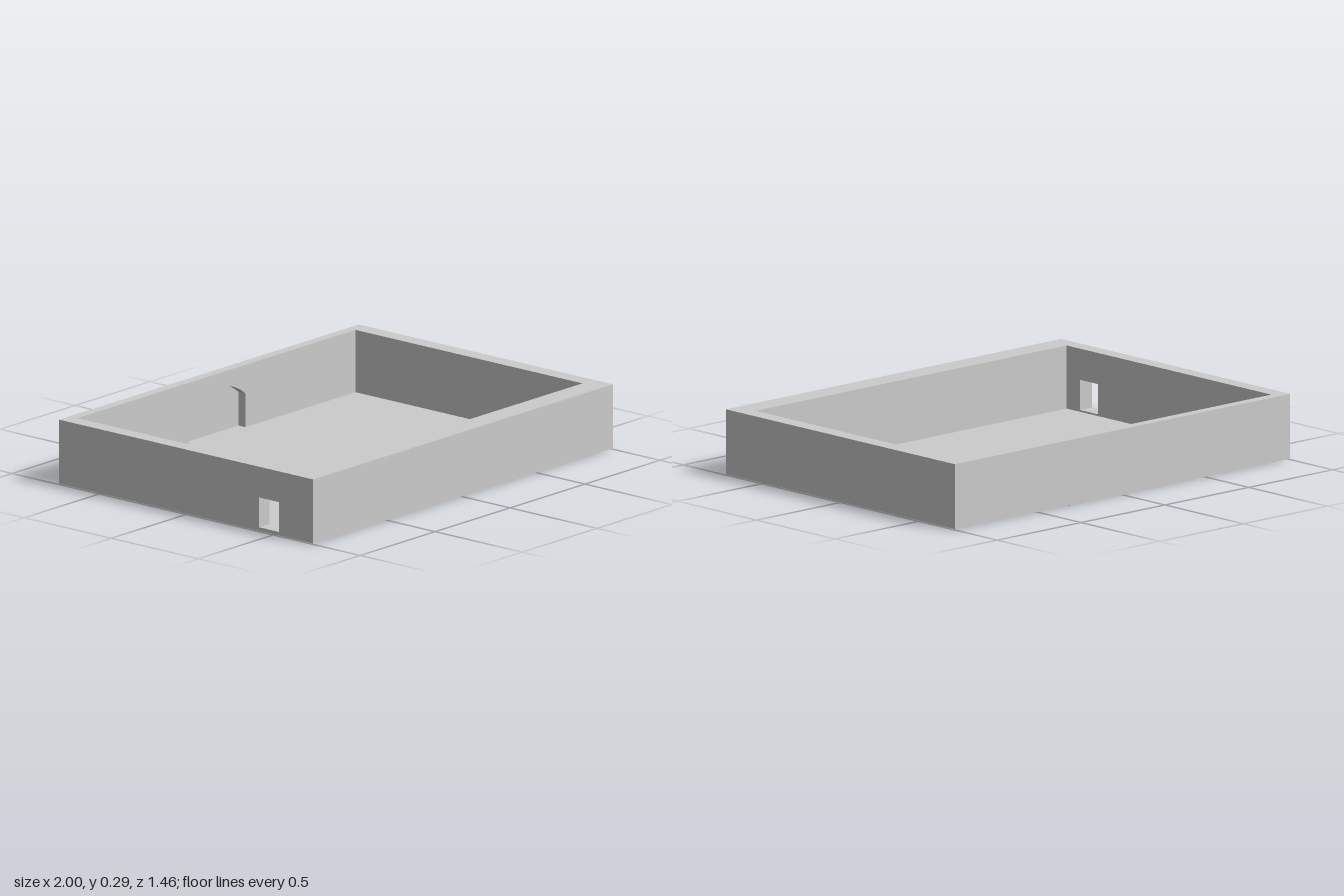
import * as THREE from 'three';

const material = new THREE.MeshStandardMaterial({ color: 0xcccccc, flatShading: true });

// Heights of the underside, the inner floor and the rim
const BASE = 0.004, FLOOR = 0.012, RIM = 0.294;
// Outer half sizes and the inner faces of the walls
const X = 1, Z = 0.73;
const IN = { left: 0.925, right: -0.93, front: 0.62, back: -0.685 };

function add(group, name, geometry) {
  const mesh = new THREE.Mesh(geometry, material);
  mesh.name = name;
  group.add(mesh);
  return mesh;
}

// Box given by its limits on each axis
function block(group, name, x0, x1, y0, y1, z0, z1) {
  add(group, name, new THREE.BoxGeometry(x1 - x0, y1 - y0, z1 - z0))
    .position.set((x0 + x1) / 2, (y0 + y1) / 2, (z0 + z1) / 2);
}

export function createModel() {
  const tray = new THREE.Group();
  tray.name = 'tray';

  block(tray, 'floor', -X, X, BASE, FLOOR, -Z, Z);
  block(tray, 'frontWall', -X, X, FLOOR, RIM, IN.front, Z);
  block(tray, 'leftWall', IN.left, X, FLOOR, RIM, IN.back, IN.front);

  // Back wall: thin outer skin behind a layer notched by the arched niche
  const skin = 0.005, half = 0.19, shoulder = 0.165, radius = 0.3;
  const centreY = shoulder - Math.sqrt(radius * radius - half * half);
  const spread = Math.asin(half / radius);
  block(tray, 'backSkin', -X, X, FLOOR, RIM, -Z, -Z + skin);
  const back = new THREE.Shape();
  back.moveTo(-X, FLOOR);
  back.lineTo(-half, FLOOR);
  back.lineTo(-half, shoulder);
  back.absarc(0, centreY, radius, Math.PI / 2 + spread, Math.PI / 2 - spread, true);
  back.lineTo(half, FLOOR);
  back.lineTo(X, FLOOR);
  back.lineTo(X, RIM);
  back.lineTo(-X, RIM);
  back.closePath();
  add(tray, 'backWallWithNiche', new THREE.ExtrudeGeometry(back, {
    depth: IN.back + Z - skin, bevelEnabled: false, curveSegments: 24,
  })).position.z = -Z + skin;

  // Right wall with a small rectangular port, drawn in z and y
  const side = new THREE.Shape();
  side.moveTo(IN.back, FLOOR);
  side.lineTo(IN.front, FLOOR);
  side.lineTo(IN.front, RIM);
  side.lineTo(IN.back, RIM);
  side.closePath();
  const port = new THREE.Path();
  port.moveTo(0.42, 0.02);
  port.lineTo(0.42, 0.155);
  port.lineTo(0.535, 0.155);
  port.lineTo(0.535, 0.02);
  port.closePath();
  side.holes.push(port);
  const sideGeometry = new THREE.ExtrudeGeometry(side, { depth: X + IN.right, bevelEnabled: false });
  sideGeometry.rotateY(-Math.PI / 2);
  add(tray, 'rightWallWithPort', sideGeometry).position.x = IN.right;

  // Shallow strip under the back edge
  block(tray, 'footStrip', -0.29, 0.31, 0, BASE, -Z, -0.69);

  return tray;
}
